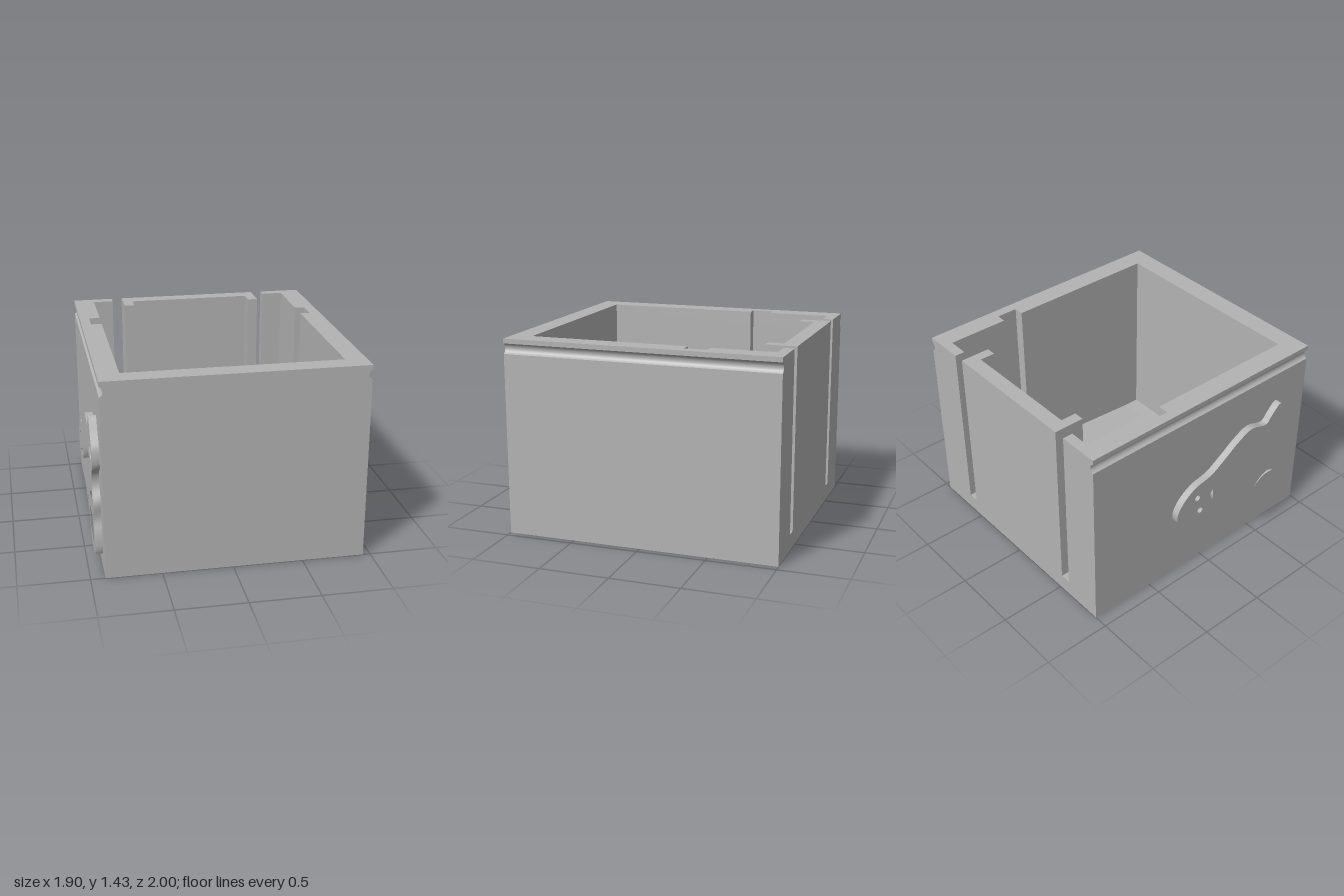
import * as THREE from 'three';
import { toCreasedNormals } from 'three/addons/utils/BufferGeometryUtils.js';

const LEFT = -0.897, RIGHT = 0.947, TOP = 1.43;
const grey = new THREE.MeshStandardMaterial({ color: 0xb3b3b3 });
grey.name = 'plain grey';

const vectors = (pts) => pts.map(([x, y]) => new THREE.Vector2(x, y));

function add(parent, name, geometry) {
  const mesh = new THREE.Mesh(geometry, grey);
  mesh.name = name;
  parent.add(mesh);
  return mesh;
}

// Upright wall from a plan outline of [x, z] points, with a round groove on both outer sides
function wall(plan) {
  const h = 0.0375, depth = 0.026, mid = 1.358, arcSteps = 8;
  const r = (h * h + depth * depth) / (2 * depth);
  const levels = [[0, 0]];
  const half = Math.asin(h / r);
  for (let i = 0; i <= arcSteps; i++) {
    const a = -half + (2 * half * i) / arcSteps;
    levels.push([mid + r * Math.sin(a), Math.max(0, r * Math.cos(a) - (r - depth))]);
  }
  levels.push([TOP, 0]);
  const steps = levels.length - 1;
  const shape = new THREE.Shape(vectors(plan.map(([x, z]) => [x, -z])));
  const geo = new THREE.ExtrudeGeometry(shape, { depth: steps, steps, bevelEnabled: false });
  geo.rotateX(-Math.PI / 2);
  const p = geo.attributes.position;
  for (let i = 0; i < p.count; i++) {
    const [y, inset] = levels[Math.round(p.getY(i))];
    p.setY(i, y);
    if (Math.abs(p.getX(i) - LEFT) < 1e-4) p.setX(i, LEFT + inset);
    if (Math.abs(p.getX(i) - RIGHT) < 1e-4) p.setX(i, RIGHT - inset);
  }
  geo.computeVertexNormals();
  return toCreasedNormals(geo, 0.5);
}

// Floor block: a [z, y] profile running from x0 to x1
function floorBlock(x0, x1, profile) {
  const shape = new THREE.Shape(vectors(profile.map(([z, y]) => [-z, y])));
  const geo = new THREE.ExtrudeGeometry(shape, { depth: x1 - x0, bevelEnabled: false });
  return geo.rotateY(Math.PI / 2).translate(x0, 0, 0);
}

function smoothLoop(pts, count) {
  const curve = new THREE.CatmullRomCurve3(
    pts.map(([x, y]) => new THREE.Vector3(x, y, 0)), true, 'centripetal');
  return curve.getPoints(count).slice(0, -1).map((v) => new THREE.Vector2(v.x, v.y));
}

export function createModel() {
  const model = new THREE.Group();
  model.name = 'slottedBox';

  // Front and side walls, with an inner channel on each side
  add(model, 'frontAndSideWalls', wall([
    [LEFT, -1], [-0.595, -1], [-0.595, -0.925], [-0.745, -0.925],
    [-0.745, -0.465], [-0.825, -0.465], [-0.825, -0.305], [-0.745, -0.305],
    [-0.745, 0.85], [0.795, 0.85],
    [0.795, -0.305], [0.87, -0.305], [0.87, -0.465], [0.795, -0.465],
    [0.795, -0.925], [0.64, -0.925], [0.64, -1], [RIGHT, -1],
    [RIGHT, 1], [LEFT, 1],
  ]));

  // Back panel between the two slots, with a rib at each end
  add(model, 'backPanel', wall([
    [-0.515, -1], [0.56, -1], [0.56, -0.775], [0.485, -0.775],
    [0.485, -0.89], [-0.44, -0.89], [-0.44, -0.775], [-0.515, -0.775],
  ]));

  // Sloping floor, left open over the dispensing slot
  const full = [[-1, 0], [-1, 0.12], [-0.04, 0.12], [0.73, 0.07], [0.86, 0.07], [0.86, 0]];
  const behind = [[-1, 0], [-1, 0.12], [-0.04, 0.12], [0.5, 0.085], [0.5, 0]];
  const ahead = [[0.73, 0], [0.73, 0.07], [0.86, 0.07], [0.86, 0]];
  add(model, 'floorRightSide', floorBlock(-0.83, -0.515, full));
  add(model, 'floorLeftSide', floorBlock(0.485, 0.875, full));
  add(model, 'floorBehindSlot', floorBlock(-0.515, 0.485, behind));
  add(model, 'floorAheadOfSlot', floorBlock(-0.515, 0.485, ahead));

  // Raised bird-shaped ornament lying on its side, drawn as [z, y]
  const bird = new THREE.Shape(smoothLoop([
    [-0.29, 0.57], [-0.24, 0.66], [-0.127, 0.742], [0.024, 0.78], [0.162, 0.863],
    [0.275, 0.94], [0.414, 1.0], [0.565, 0.965], [0.615, 1.017], [0.703, 1.09],
    [0.79, 0.985], [0.86, 0.912], [0.865, 0.77], [0.79, 0.70], [0.78, 0.60],
    [0.84, 0.498], [0.83, 0.367], [0.865, 0.26], [0.86, 0.12], [0.766, 0.111],
    [0.653, 0.09], [0.55, 0.14], [0.50, 0.22], [0.364, 0.298], [0.15, 0.372],
    [-0.04, 0.425], [-0.19, 0.425], [-0.275, 0.49],
  ], 112));
  const belly = smoothLoop([
    [0.11, 0.60], [0.31, 0.70], [0.527, 0.763], [0.665, 0.742], [0.73, 0.62], [0.73, 0.485],
    [0.59, 0.475], [0.49, 0.41], [0.45, 0.343], [0.275, 0.388], [0.125, 0.446], [0.085, 0.537],
  ], 48);
  const feet = [
    [[0.615, 0.89], [0.71, 1.02], [0.81, 0.87], [0.79, 0.80], [0.68, 0.825]],
    [[0.54, 0.318], [0.665, 0.43], [0.74, 0.417], [0.73, 0.342], [0.80, 0.177],
      [0.665, 0.183], [0.565, 0.198]],
  ].map((pts) => smoothLoop(pts, 28));
  const beak = vectors([[0.05, 0.635], [0.06, 0.55], [0.035, 0.495], [-0.005, 0.585]]);
  const eyes = [[-0.1, 0.636], [-0.07, 0.506]].map(([z, y]) =>
    new THREE.Path().absarc(z, y, 0.025, 0, Math.PI * 2).getPoints(6).slice(0, -1));
  for (const hole of [belly, ...feet, beak, ...eyes]) bird.holes.push(new THREE.Path(hole));
  const birdGeo = new THREE.ExtrudeGeometry(bird, { depth: 0.053, bevelEnabled: false });
  const ornament = add(model, 'birdOrnament', toCreasedNormals(birdGeo, 0.6));
  ornament.rotation.y = -Math.PI / 2;
  ornament.position.x = LEFT;

  return model;
}
